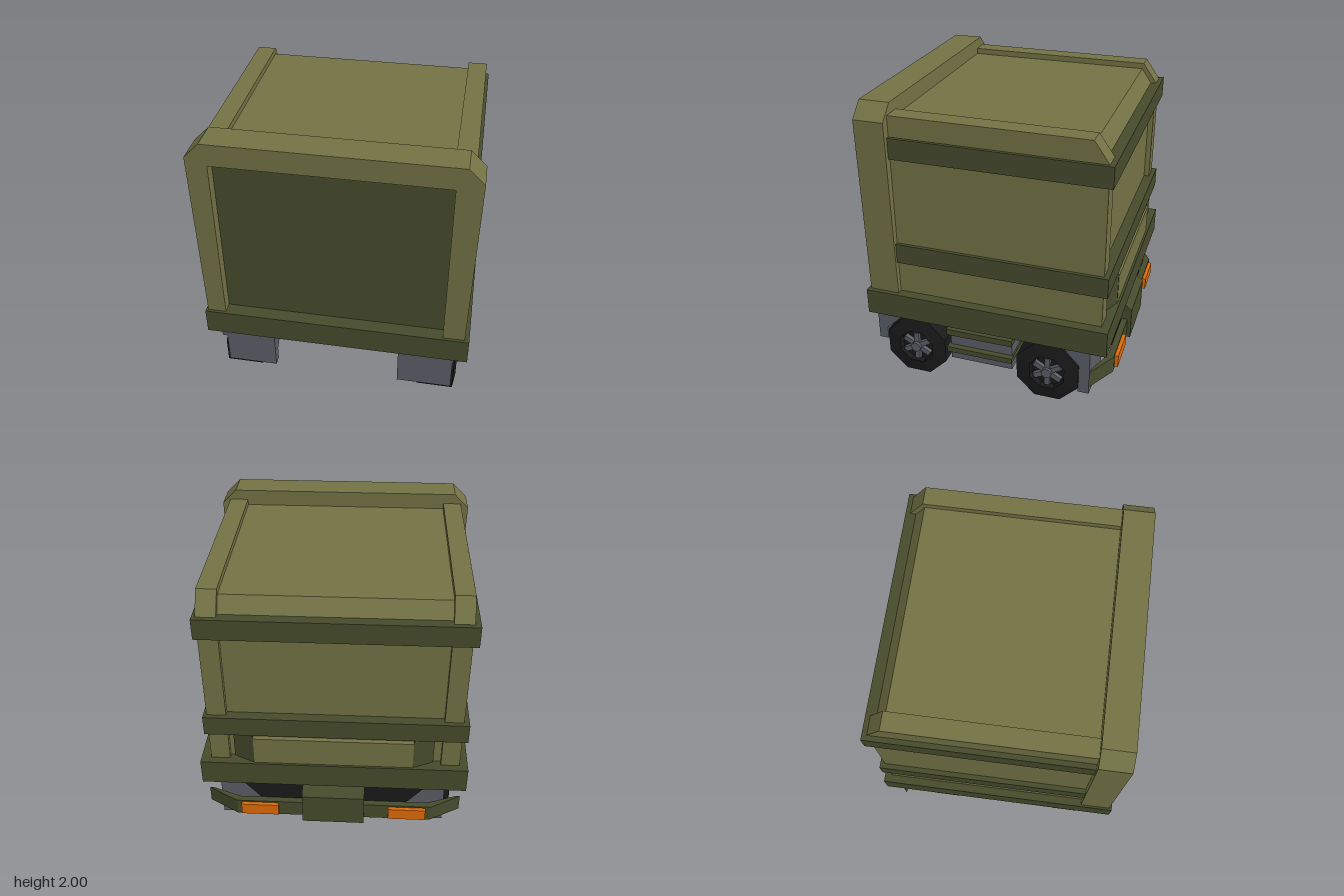
import * as THREE from 'three';

const mat = (name, color) => {
  const m = new THREE.MeshStandardMaterial({ color });
  m.name = name;
  return m;
};

export function createModel() {
  const olive = mat('olive', 0x737245);
  const green = mat('dark green', 0x464b2c);
  const grey = mat('grey', 0x5b5d67);
  const black = mat('black', 0x1a1a1a);
  const orange = mat('orange', 0xe06c08);
  const root = new THREE.Group();
  root.name = 'boxTrailer';

  const add = (name, geometry, material, parent = root) => {
    const mesh = new THREE.Mesh(geometry, material);
    mesh.name = name;
    parent.add(mesh);
    return mesh;
  };
  // Box given by its limits on each axis
  const box = (name, m, x0, x1, y0, y1, z0, z1, parent) =>
    add(name, new THREE.BoxGeometry(x1 - x0, y1 - y0, z1 - z0)
      .translate((x0 + x1) / 2, (y0 + y1) / 2, (z0 + z1) / 2), m, parent);
  const extrude = (pts, depth) => new THREE.ExtrudeGeometry(
    new THREE.Shape(pts.map(p => new THREE.Vector2(...p))), { depth, bevelEnabled: false });
  // Side profile in (z, y), swept from x0 to x1
  const sideways = (name, m, pts, x0, x1) =>
    add(name, extrude(pts, x1 - x0).rotateY(-Math.PI / 2).translate(x1, 0, 0), m);
  // Plan outline in (x, z), swept from y0 to y1
  const upward = (name, m, pts, y0, y1) =>
    add(name, extrude(pts.map(([x, z]) => [x, -z]), y1 - y0)
      .rotateX(-Math.PI / 2).translate(0, y0, 0), m);
  // Front outline in (x, y), swept from z0 to z1
  const forward = (name, m, pts, z0, z1) =>
    add(name, extrude(pts, z1 - z0).translate(0, 0, z0), m);

  // Base slab
  box('baseSlab', green, -0.9, 0.895, 0.49, 0.67, -0.82, 0.855);

  // Cargo body: lower centre between two raised side sections
  sideways('cargoCentre', olive,
    [[0.64, 0.66], [0.64, 1.89], [-0.66, 1.89], [-0.73, 1.79], [-0.73, 0.66]], -0.73, 0.71);
  for (const [x0, x1] of [[-0.845, -0.72], [0.7, 0.828]]) {
    sideways('cargoSide', olive,
      [[0.64, 0.66], [0.64, 1.93], [-0.67, 1.93], [-0.768, 1.79], [-0.768, 0.66]], x0, x1);
  }

  // Bands around the body
  for (const [y0, y1] of [[0.9, 1.04], [1.648, 1.79]]) {
    box('bodyBand', green, -0.88, 0.85, y0, y1, -0.8, 0.635);
  }

  // Front frame with chamfered top corners, open at the bottom
  forward('frontFrame', olive, [
    [-0.885, 0.66], [-0.9, 1.9], [-0.8, 2], [0.785, 2], [0.885, 1.9], [0.865, 0.66],
    [0.72, 0.66], [0.72, 1.85], [-0.76, 1.85], [-0.76, 0.66]], 0.63, 0.835);
  box('frontPanel', green, -0.77, 0.73, 0.66, 1.86, 0.65, 0.76);

  // Rear locker with a chamfered top edge and swept ends
  sideways('rearLocker', olive,
    [[-0.72, 0.9], [-0.77, 0.9], [-0.805, 0.875], [-0.805, 0.66], [-0.72, 0.66]], -0.53, 0.53);
  for (const s of [-1, 1]) {
    const end = [[s * 0.53, -0.72], [s * 0.53, -0.803], [s * 0.67, -0.74], [s * 0.67, -0.72]];
    upward('rearLockerEnd', green, end, 0.66, 0.895);
  }

  // Underbody tank with wrapping rails
  box('tank', grey, -0.8, 0.8, 0.165, 0.49, -0.155, 0.29);
  for (const [y0, y1] of [[0.24, 0.28], [0.38, 0.425]]) {
    box('tankRail', green, -0.84, 0.84, y0, y1, -0.165, 0.305);
  }
  box('tankBottomPlate', green, -0.77, 0.77, 0.163, 0.167, -0.125, 0.26);

  // Mudguards, liners and bumper brackets on each side
  const frontGuard = [[0.84, 0.5], [0.84, 0.22], [0.775, 0.22], [0.775, 0.31], [0.64, 0.44], [0.28, 0.44], [0.28, 0.5]];
  const rearGuard = [[-0.14, 0.5], [-0.14, 0.44], [-0.5, 0.44], [-0.62, 0.3], [-0.62, 0.09], [-0.695, 0.09], [-0.695, 0.5]];
  for (const [x0, x1] of [[-0.77, -0.43], [0.43, 0.8]]) {
    const s = Math.sign(x0);
    sideways('frontMudguard', grey, frontGuard, x0, x1);
    sideways('rearMudguard', grey, rearGuard, x0, x1);
    box('sideBeam', grey, s * 0.78 - 0.025, s * 0.78 + 0.025, 0.44, 0.495, -0.69, 0.835);
    for (const [z0, z1] of [[0.28, 0.64], [-0.63, -0.14]]) {
      box('archLiner', black, s * 0.445 - 0.006, s * 0.445 + 0.006, 0.3, 0.48, z0, z1);
    }
    forward('bumperBracket', black,
      [[s * 0.2, 0.495], [s * 0.65, 0.495], [s * 0.45, 0.26], [s * 0.2, 0.26]], -0.78, -0.69);
  }

  // Wheels: eight-sided tyre, recessed hub and six spokes
  const profile = [[0, -0.13], [0.2327, -0.13], [0.2327, 0.12], [0.13, 0.135], [0.125, 0.095], [0, 0.095]]
    .map(p => new THREE.Vector2(...p));
  const tyre = new THREE.LatheGeometry(profile, 8, Math.PI / 8)
    .rotateZ(-Math.PI / 2).toNonIndexed();
  tyre.computeVertexNormals();
  const hub = new THREE.CylinderGeometry(0.037, 0.037, 0.06, 8).rotateZ(-Math.PI / 2);
  for (const side of [-1, 1]) {
    for (const z of [0.547, -0.407]) {
      const wheel = new THREE.Group();
      wheel.name = 'wheel';
      add('tyre', tyre, black, wheel);
      add('hub', hub, grey, wheel).position.x = 0.115;
      for (let i = 0; i < 6; i++) {
        const spoke = box('spoke', grey, 0.09, 0.125, 0.02, 0.107, -0.018, 0.018, wheel);
        spoke.rotation.x = i * Math.PI / 3;
      }
      wheel.position.set(side * 0.693, 0.215, z);
      if (side < 0) wheel.rotation.y = Math.PI;
      root.add(wheel);
    }
  }

  // Rear bumper with swept ends, centre block and lamps
  upward('rearBumper', green, [
    [-0.88, -0.71], [-0.67, -0.828], [0.67, -0.828], [0.88, -0.71],
    [0.85, -0.71], [0.65, -0.785], [-0.65, -0.785], [-0.85, -0.71]], 0.21, 0.33);
  sideways('bumperCentre', green,
    [[-0.765, 0.18], [-0.855, 0.18], [-0.855, 0.41], [-0.78, 0.47], [-0.765, 0.47]], -0.213, 0.213);
  for (const x of [-0.508, 0.508]) {
    box('rearLamp', orange, x - 0.128, x + 0.128, 0.23, 0.318, -0.853, -0.82);
  }
  return root;
}
